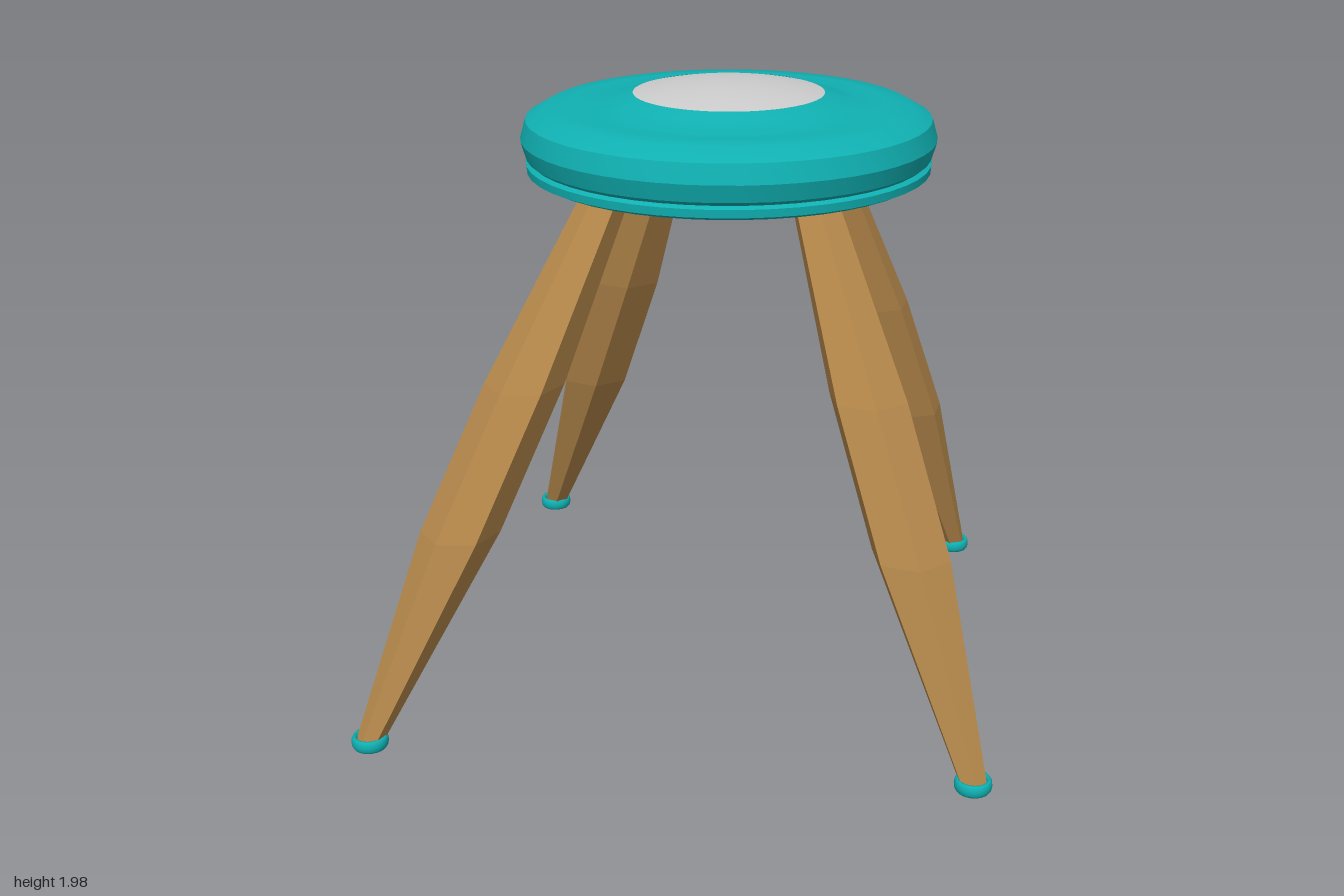
import * as THREE from 'three';
import { toCreasedNormals } from 'three/addons/utils/BufferGeometryUtils.js';

const teal = new THREE.MeshStandardMaterial({ color: 0x10b0b2, side: THREE.DoubleSide });
const wood = new THREE.MeshStandardMaterial({ color: 0xb88a4c, flatShading: true });
const grey = new THREE.MeshStandardMaterial({ color: 0xcccccc });

const lathe = (points, sides) =>
  new THREE.LatheGeometry(points.map(([r, y]) => new THREE.Vector2(r, y)), sides);

function add(parent, name, geometry, material) {
  const mesh = new THREE.Mesh(geometry, material);
  mesh.name = name;
  parent.add(mesh);
  return mesh;
}

// Six-sided spindle with level cross-sections, slanted from foot to top
function spindle(foot, top) {
  const d = top.clone().sub(foot);
  const geometry = lathe([
    [0, 0], [0.044, 0], [0.124, 0.645], [0.124, 1.09], [0.066, d.y], [0, d.y],
  ], 6);
  geometry.rotateY(Math.atan2(d.x, d.z) + Math.PI / 2);
  const slant = new THREE.Matrix4().makeShear(0, 0, d.x / d.y, d.z / d.y, 0, 0);
  return geometry.applyMatrix4(slant);
}

export function createModel() {
  const model = new THREE.Group();
  model.name = 'stool';

  // Round seat, slightly off the middle of the splayed legs
  const seat = new THREE.Group();
  seat.name = 'seat';
  seat.position.set(0.03, 0, 0.068);
  model.add(seat);

  // Shell: stepped recess below, double rim, shallow hollow around the cushion
  const shell = lathe([
    [0, 1.83], [0.24, 1.83], [0.26, 1.775], [0.44, 1.775], [0.46, 1.74], [0.56, 1.705],
    [0.61, 1.708], [0.636, 1.72], [0.638, 1.745], [0.622, 1.753], [0.637, 1.765],
    [0.653, 1.82], [0.636, 1.88], [0.575, 1.914], [0.5, 1.92], [0.43, 1.915],
    [0.36, 1.938], [0.3, 1.956],
  ], 48);
  add(seat, 'seatShell', toCreasedNormals(shell, 0.48), teal);

  // Low domed cushion in the middle
  const dome = [];
  for (let i = 0; i <= 8; i++) {
    const r = 0.31 * (1 - i / 8);
    dome.push([r, 1.953 + 0.038 * (1 - (r / 0.31) ** 2)]);
  }
  add(seat, 'cushion', lathe(dome, 48), grey);

  // Legs: foot x, y, z then top x, z
  const legs = [
    ['frontLeftLeg', 0.93, 0.04, 0.82, 0.3, 0.28],
    ['frontRightLeg', -0.94, 0.04, 0.94, -0.24, 0.35],
    ['backLeftLeg', 0.72, 0.03, -0.91, 0.26, -0.2],
    ['backRightLeg', -0.88, 0.05, -0.95, -0.2, -0.26],
  ];
  for (const [name, x, y, z, topX, topZ] of legs) {
    const group = new THREE.Group();
    group.name = name;
    group.position.set(x, y, z);
    const foot = group.position;
    add(group, 'spindle', spindle(foot, new THREE.Vector3(topX, 1.81, topZ)), wood);

    // Thin open ring around the foot
    const ring = new THREE.TorusGeometry(0.048, 0.01, 10, 24);
    ring.rotateX(Math.PI / 2).scale(1, 2.1, 1);
    add(group, 'footRing', ring, teal);
    model.add(group);
  }

  return model;
}
